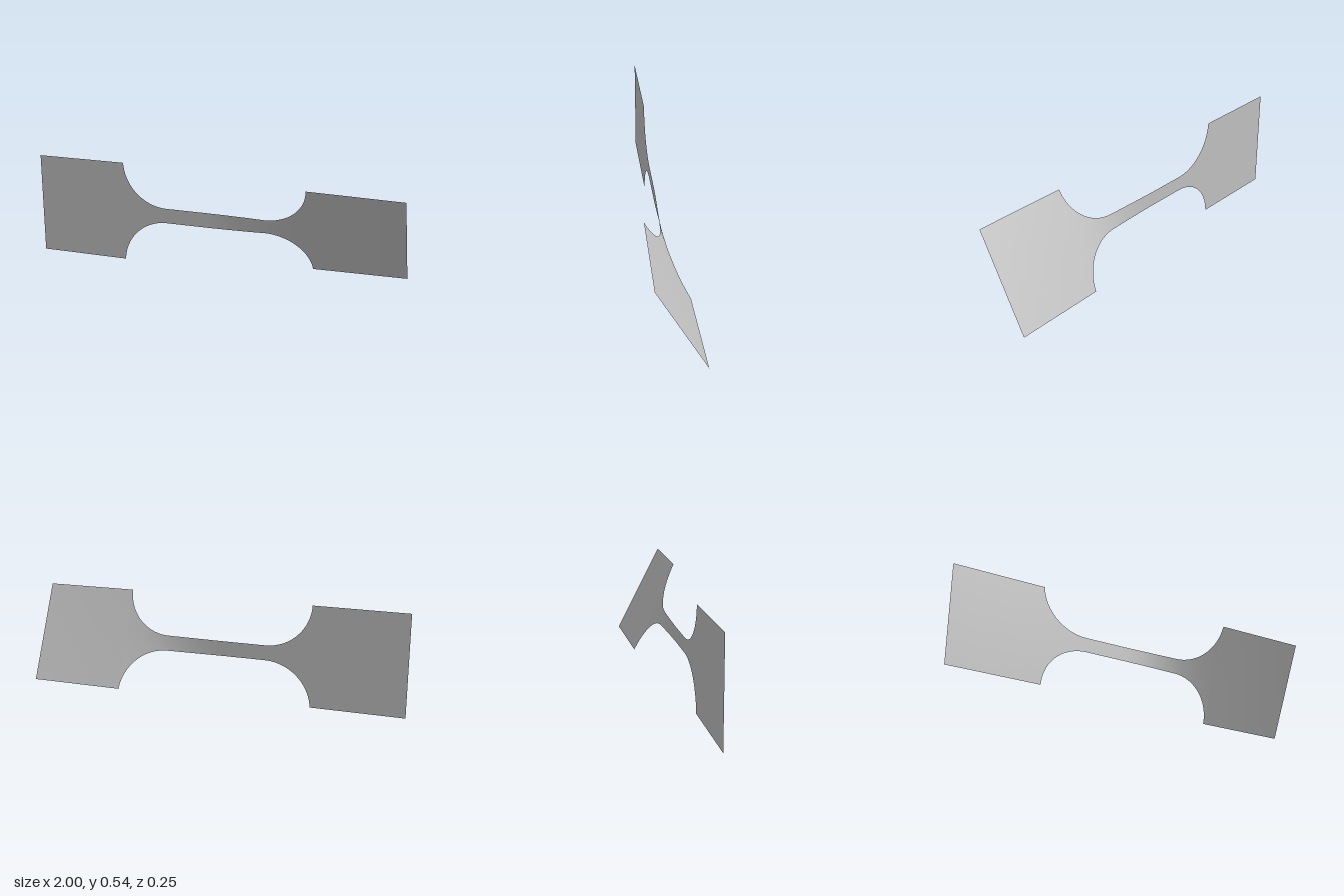
import * as THREE from 'three';

const GRIP_H = 0.2715;   // half height of the grips
const NECK_H = 0.04;     // half height of the neck
const R = 0.245;         // fillet radius
const GRIP_X = 0.51;     // inner edge of the grips
const END = Math.acos((R - (GRIP_H - NECK_H)) / R);
const NECK_X = GRIP_X - R * Math.sin(END);

// Twist about the x axis in degrees: [x, angle]
const TWIST = [[-1, 0], [-0.05, 0], [0.06, 3], [0.2, 10], [0.3, 18], [0.4, 23], [0.51, 25.2], [1, 27.4]];

function twistAt(x) {
  let i = 0;
  while (i < TWIST.length - 2 && x > TWIST[i + 1][0]) i++;
  const [x0, a0] = TWIST[i], [x1, a1] = TWIST[i + 1];
  return THREE.MathUtils.degToRad(a0 + (a1 - a0) * (x - x0) / (x1 - x0));
}

// Columns [x, half height] from the middle of the neck to the end of one grip
function halfOutline() {
  const cols = [];
  for (let i = 0; i < 14; i++) cols.push([NECK_X * i / 14, NECK_H]);
  for (let i = 0; i <= 28; i++) {
    const t = END * i / 28;
    cols.push([NECK_X + R * Math.sin(t), NECK_H + R * (1 - Math.cos(t))]);
  }
  for (let i = 1; i <= 10; i++) cols.push([GRIP_X + (1 - GRIP_X) * i / 10, GRIP_H]);
  return cols;
}

export function createModel() {
  const group = new THREE.Group();
  group.name = 'twistedTestStrip';

  const metal = new THREE.MeshStandardMaterial({ color: 0xc0c0c0, side: THREE.DoubleSide });
  metal.name = 'grey metal';

  // Mirror the half outline to get every column of the sheet
  const half = halfOutline();
  const cols = [...half.slice(1).reverse().map(([x, h]) => [-x, h]), ...half];

  // Shape a flat grid to the outline, then twist each column
  const rows = 16;
  const geo = new THREE.PlaneGeometry(2, 2, cols.length - 1, rows);
  const pos = geo.attributes.position;
  for (let i = 0; i < pos.count; i++) {
    const [x, h] = cols[i % cols.length];
    const v = pos.getY(i) * h;
    const a = twistAt(x);
    pos.setXYZ(i, x, GRIP_H + v * Math.cos(a), v * Math.sin(a));
  }
  geo.computeVertexNormals();

  const strip = new THREE.Mesh(geo, metal);
  strip.name = 'twistedStrip';
  group.add(strip);
  return group;
}
